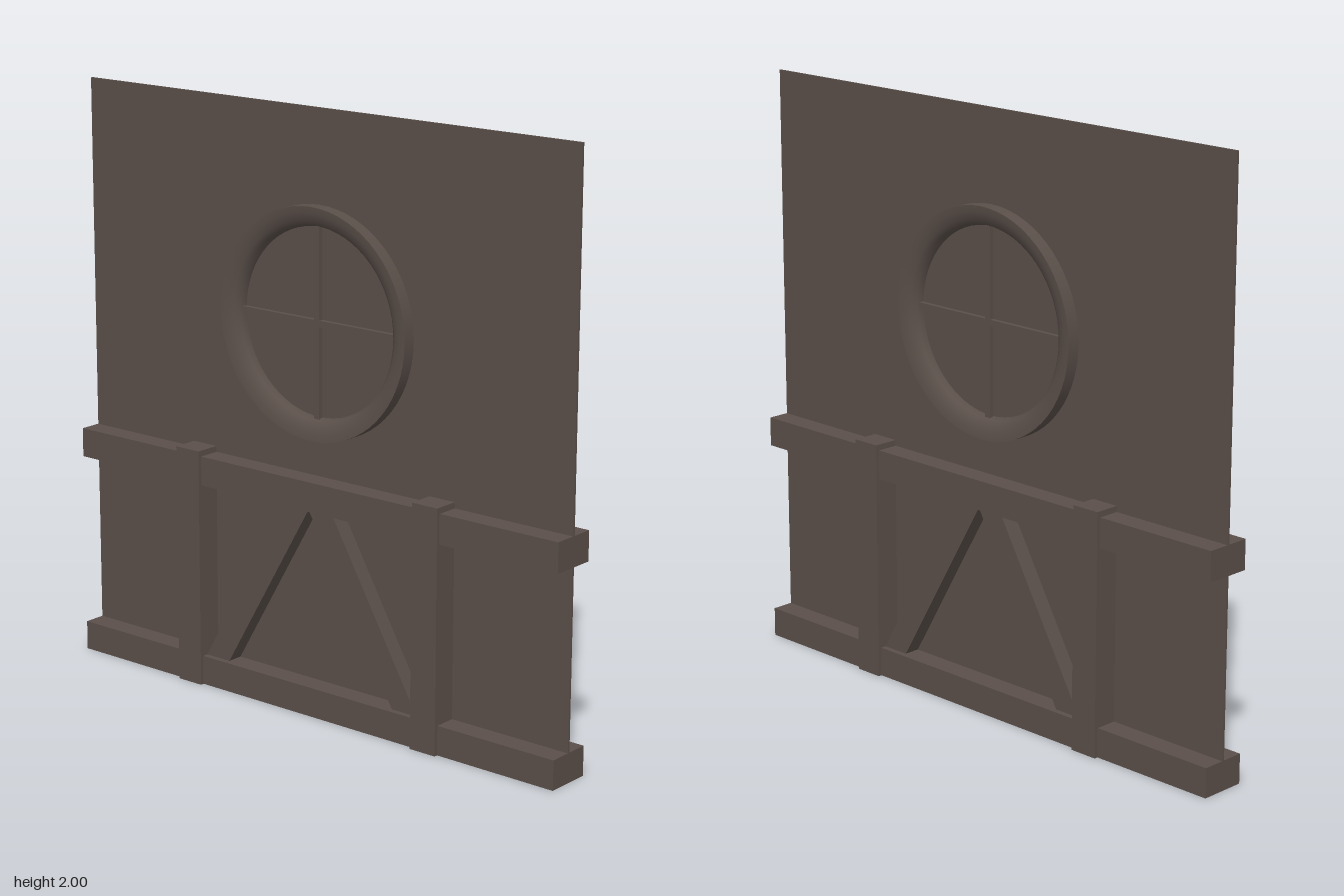
import * as THREE from 'three';

export function createModel() {
  const model = new THREE.Group();
  const wood = new THREE.MeshStandardMaterial({ color: 0x5a4f49 });
  wood.name = 'dark brown wood';

  const add = (name, geometry, x = 0, y = 0, z = 0) => {
    const mesh = new THREE.Mesh(geometry, wood);
    mesh.name = name;
    mesh.position.set(x, y, z);
    model.add(mesh);
    return mesh;
  };
  const box = (name, w, h, d, y, z = 0) =>
    add(name, new THREE.BoxGeometry(w, h, d), 0, y, z);

  // Thin wall panel
  box('wallPanel', 0.008, 2, 2, 1);

  // Horizontal rails
  box('bottomRail', 0.16, 0.1, 2, 0.05);
  box('topRail', 0.16, 0.1, 2, 0.75);

  // Posts and slanted braces, mirrored front to back
  for (const s of [1, -1]) {
    box(s > 0 ? 'frontPost' : 'backPost', 0.186, 0.82, 0.1, 0.41, s * 0.5);

    // Extruded along x: shape x becomes -z after the turn
    const shape = new THREE.Shape([
      [0.45, 0.1], [0.1, 0.7], [0, 0.7], [0.35, 0.1],
    ].map(([z, y]) => new THREE.Vector2(-s * z, y)));
    const brace = new THREE.ExtrudeGeometry(shape, { depth: 0.12, bevelEnabled: false });
    brace.translate(0, 0, -0.06).rotateY(Math.PI / 2);
    add(s > 0 ? 'frontBrace' : 'backBrace', brace);
  }

  // Round window frame: straight outer rim, rounded faces toward the opening
  const windowY = 1.31;
  const lathe = (name, points) => {
    const geometry = new THREE.LatheGeometry(
      points.map(([r, h]) => new THREE.Vector2(r, h)), 64);
    geometry.rotateZ(-Math.PI / 2);
    add(name, geometry, 0, windowY, 0);
  };
  lathe('windowRim', [[0.382, -0.05], [0.382, 0.05]]);
  const face = [[0.382, 0.05], [0.36, 0.048], [0.335, 0.04], [0.318, 0.026], [0.31, 0]];
  lathe('windowFrame', [...face, ...face.slice(0, -1).reverse().map(([r, h]) => [r, -h])]);

  // Window cross bars
  box('windowMullion', 0.04, 0.63, 0.022, windowY);
  box('windowCrossbar', 0.04, 0.022, 0.63, windowY);

  return model;
}
